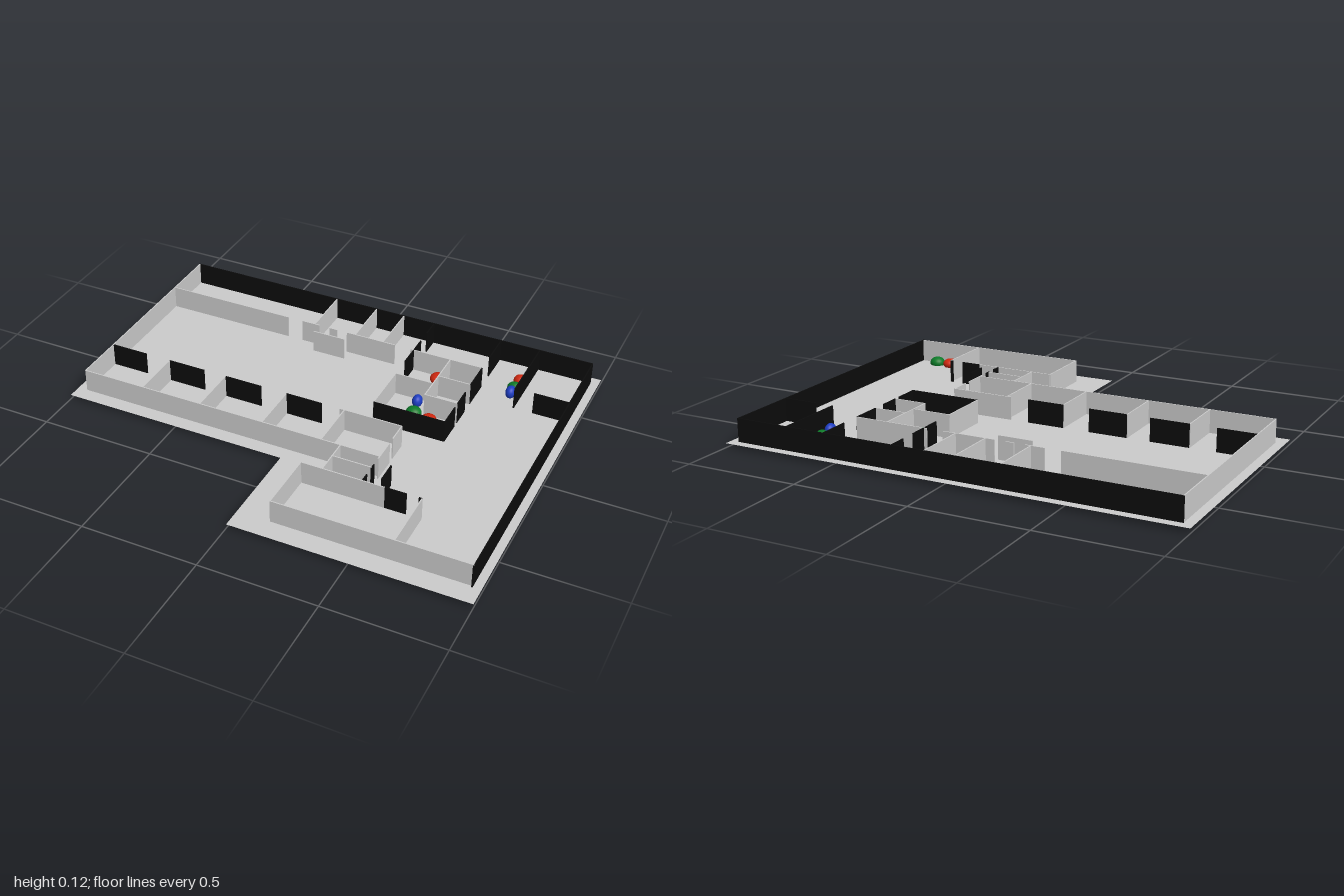
import * as THREE from 'three';

const FLOOR = 0.02, TOP = 0.12, THICK = 0.005;
const paint = (color, side = THREE.FrontSide) => new THREE.MeshStandardMaterial({ color, side });

export function createModel() {
  const model = new THREE.Group();
  const grey = paint(0xcccccc), black = paint(0x0c0c0c);

  // Thin L-shaped floor slab
  const outline = [[-1, 0.775], [1, 0.775], [1, -0.77], [0, -0.77], [0, -0.315], [-1, -0.315]];
  const shape = new THREE.Shape(outline.map(([x, y]) => new THREE.Vector2(x, y)));
  const floor = new THREE.Mesh(new THREE.ShapeGeometry(shape), paint(0xcccccc, THREE.DoubleSide));
  floor.rotation.x = -Math.PI / 2;
  floor.position.y = FLOOR;
  floor.name = 'floor';
  model.add(floor);

  // Upright wall along x or along z
  function wall(group, name, x0, z0, x1, z1, material) {
    const h = TOP - FLOOR + 0.001;
    const geo = new THREE.BoxGeometry(Math.max(x1 - x0, THICK), h, Math.max(z1 - z0, THICK));
    const mesh = new THREE.Mesh(geo, material);
    mesh.position.set((x0 + x1) / 2, TOP - h / 2, (z0 + z1) / 2);
    mesh.name = name;
    group.add(mesh);
  }
  // Runs along x: a z position followed by [start, end] pairs
  const alongX = (g, name, mat, z, ...runs) => runs.forEach(([a, b]) => wall(g, name, a, z, b, z, mat));
  const alongZ = (g, name, mat, x, ...runs) => runs.forEach(([a, b]) => wall(g, name, x, a, x, b, mat));
  const section = (name) => {
    const g = new THREE.Group();
    g.name = name;
    model.add(g);
    return g;
  };

  // Outer walls
  const outer = section('outerWalls');
  alongX(outer, 'backWall', black, -0.735, [-0.96, 0.965]);
  alongZ(outer, 'leftSideWall', black, 0.963, [-0.735, 0.69]);
  alongZ(outer, 'rightSideWall', grey, -0.957, [-0.735, 0.25]);
  alongX(outer, 'frontWall', grey, 0.25, [-0.957, 0.405]);
  alongX(outer, 'wingFrontWall', grey, 0.68, [0.143, 0.963]);

  // Row of rooms along the front
  const front = section('frontRooms');
  alongX(front, 'roomFront', black, 0.03, [-0.957, -0.79], [-0.675, -0.505], [-0.403, -0.233], [-0.115, 0.048]);
  alongX(front, 'roomFront', grey, 0.03, [0.13, 0.405]);
  for (const x of [-0.675, -0.403, -0.115, 0.15]) alongZ(front, 'roomDivider', grey, x, [0.03, 0.25]);
  alongZ(front, 'roomEnd', grey, 0.405, [0.03, 0.123], [0.155, 0.267]);

  // Rooms along the back
  const back = section('backRooms');
  alongX(back, 'corridorWall', grey, -0.5, [-0.957, -0.37], [-0.3, -0.217], [-0.168, -0.13], [-0.083, 0.147]);
  alongX(back, 'screenWall', grey, -0.445, [-0.22, -0.07]);
  for (const x of [-0.24, -0.043, 0.09]) alongZ(back, 'roomDivider', grey, x, [-0.735, -0.5]);
  alongZ(back, 'sideWall', black, 0.235, [-0.735, -0.65]);
  alongZ(back, 'sideWall', black, 0.55, [-0.735, -0.59]);

  // Central block of small rooms
  const core = section('centralRooms');
  alongX(core, 'crossWall', grey, -0.5, [0.22, 0.55]);
  alongX(core, 'crossWall', grey, -0.303, [0.235, 0.405]);
  alongX(core, 'crossWall', grey, -0.363, [0.405, 0.55]);
  alongX(core, 'crossWall', grey, -0.213, [0.405, 0.55]);
  alongX(core, 'endWall', black, -0.073, [0.235, 0.55]);
  alongZ(core, 'sideWall', black, 0.235, [-0.58, -0.405]);
  alongZ(core, 'sideWall', grey, 0.235, [-0.303, -0.073]);
  alongZ(core, 'middleWall', grey, 0.405, [-0.5, -0.213]);
  alongZ(core, 'sideWall', black, 0.55, [-0.5, -0.363], [-0.303, -0.213], [-0.185, -0.073]);

  // Corner room at the back
  const corner = section('cornerRoom');
  alongZ(corner, 'sideWall', black, 0.727, [-0.735, -0.415]);
  alongX(corner, 'frontWall', black, -0.418, [0.81, 0.963]);

  // Wing: small passage rooms and the large room
  const wing = section('wingRooms');
  alongZ(wing, 'passageWall', grey, 0.235, [0.25, 0.417]);
  alongX(wing, 'passageDivider', grey, 0.327, [0.235, 0.405]);
  alongZ(wing, 'passageWall', black, 0.405, [0.305, 0.333], [0.375, 0.417]);
  alongZ(wing, 'freeScreen', black, 0.468, [0.283, 0.375]);
  alongX(wing, 'largeRoomBack', grey, 0.417, [0.143, 0.5]);
  alongX(wing, 'largeRoomBack', black, 0.417, [0.5, 0.59], [0.64, 0.653]);
  alongZ(wing, 'largeRoomSide', grey, 0.143, [0.417, 0.68]);
  alongZ(wing, 'largeRoomSide', grey, 0.653, [0.417, 0.68]);

  // Coloured rounded markers, partly sunk into the floor: kind, x, z, radii
  const kinds = {
    red: { mat: paint(0xd02810), y: 0.034, h: 0.024 },
    green: { mat: paint(0x0c7a28), y: 0.029, h: 0.028 },
    blue: { mat: paint(0x1c3cc0), y: 0.042, h: 0.028 },
  };
  const markers = section('markers');
  [
    ['red', 0.692, -0.603, 0.029, 0.029], ['green', 0.688, -0.546, 0.034, 0.025],
    ['blue', 0.687, -0.492, 0.022, 0.029], ['red', 0.367, -0.461, 0.034, 0.034],
    ['green', 0.35, -0.333, 0.034, 0.024], ['blue', 0.355, -0.26, 0.022, 0.027],
    ['green', 0.367, -0.193, 0.034, 0.032], ['red', 0.445, -0.165, 0.034, 0.034],
    ['red', 0.789, 0.64, 0.034, 0.034], ['green', 0.863, 0.646, 0.035, 0.034],
  ].forEach(([kind, x, z, rx, rz]) => {
    const { mat, y, h } = kinds[kind];
    const m = new THREE.Mesh(new THREE.SphereGeometry(1, 24, 16), mat);
    m.scale.set(rx, h, rz);
    m.position.set(x, y, z);
    m.name = kind + 'Marker';
    markers.add(m);
  });

  return model;
}
